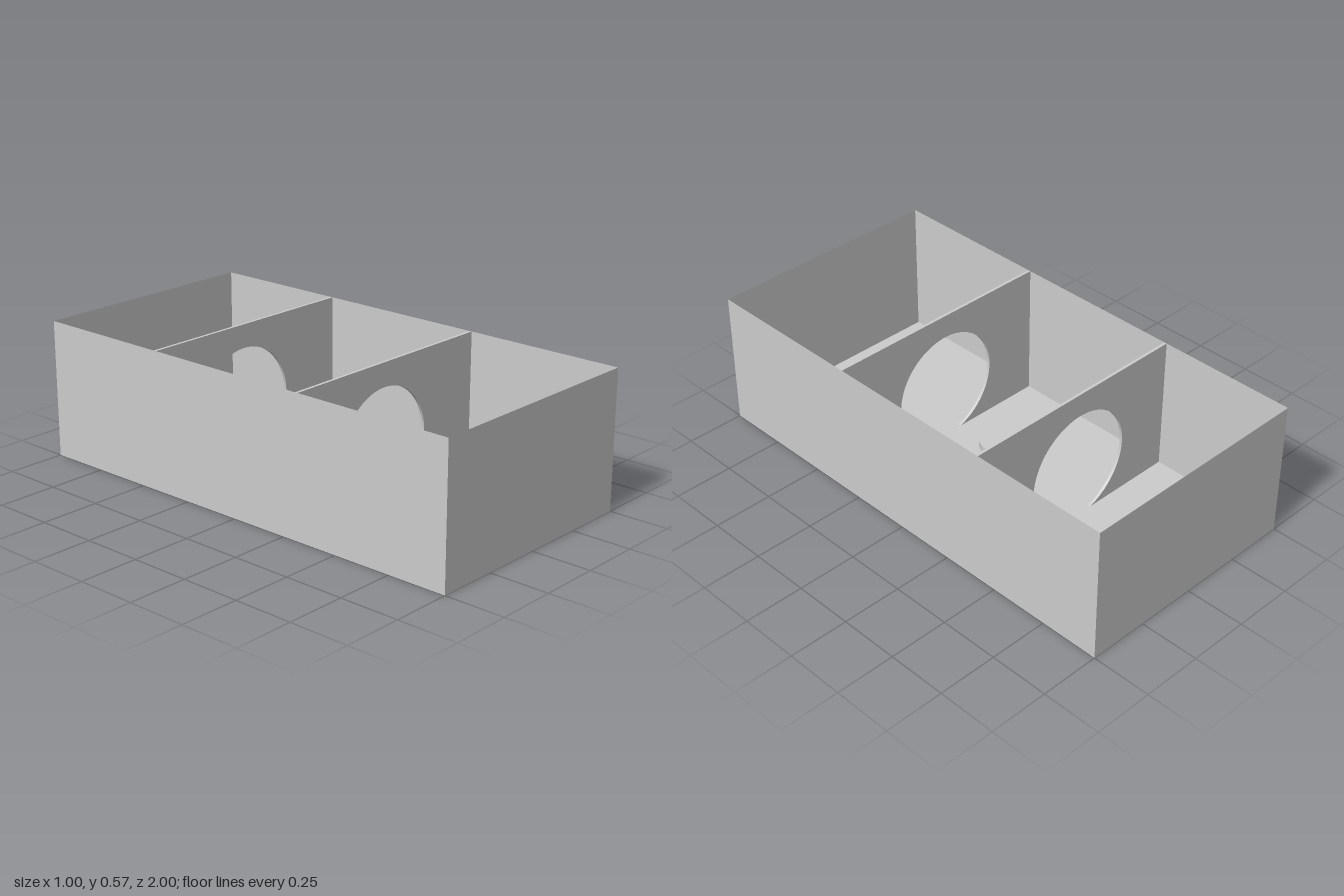
import * as THREE from 'three';

const W = 1, H = 0.57, L = 2;

export function createModel() {
  const model = new THREE.Group();
  const mat = new THREE.MeshStandardMaterial({ color: 0xcccccc, side: THREE.DoubleSide });
  const add = (name, geometry, x, y, z) => {
    const mesh = new THREE.Mesh(geometry, mat);
    mesh.name = name;
    mesh.position.set(x, y, z);
    model.add(mesh);
    return mesh;
  };

  // Paper-thin floor and outer walls, open at the top
  add('floor', new THREE.PlaneGeometry(W, L).rotateX(-Math.PI / 2), 0, 0, 0);
  add('frontWall', new THREE.PlaneGeometry(W, H), 0, H / 2, L / 2);
  add('backWall', new THREE.PlaneGeometry(W, H).rotateY(Math.PI), 0, H / 2, -L / 2);
  add('leftWall', new THREE.PlaneGeometry(L, H).rotateY(Math.PI / 2), W / 2, H / 2, 0);
  add('rightWall', new THREE.PlaneGeometry(L, H).rotateY(-Math.PI / 2), -W / 2, H / 2, 0);

  // Partitions with a round doorway that meets the floor
  const cx = -0.026, cy = 0.23, r = 0.242;
  const a = Math.asin(cy / r);
  const panel = new THREE.Shape();
  panel.moveTo(-W / 2, 0);
  panel.lineTo(cx - r * Math.cos(a), 0);
  panel.absarc(cx, cy, r, Math.PI + a, -a, true);
  panel.lineTo(W / 2, 0);
  panel.lineTo(W / 2, H);
  panel.lineTo(-W / 2, H);
  panel.closePath();
  const depth = 0.012;
  const panelGeometry = new THREE.ExtrudeGeometry(panel, { depth, bevelEnabled: false, curveSegments: 48 });
  add('frontPartition', panelGeometry, 0, 0, 0.311);
  add('backPartition', panelGeometry, 0, 0, -0.418);

  // Small round table in the middle room
  add('tableTop', new THREE.CylinderGeometry(0.102, 0.102, 0.03, 48), 0, 0.17, -0.05);
  add('tableLeg', new THREE.CylinderGeometry(0.015, 0.015, 0.155, 24), 0, 0.0775, -0.05);

  return model;
}
